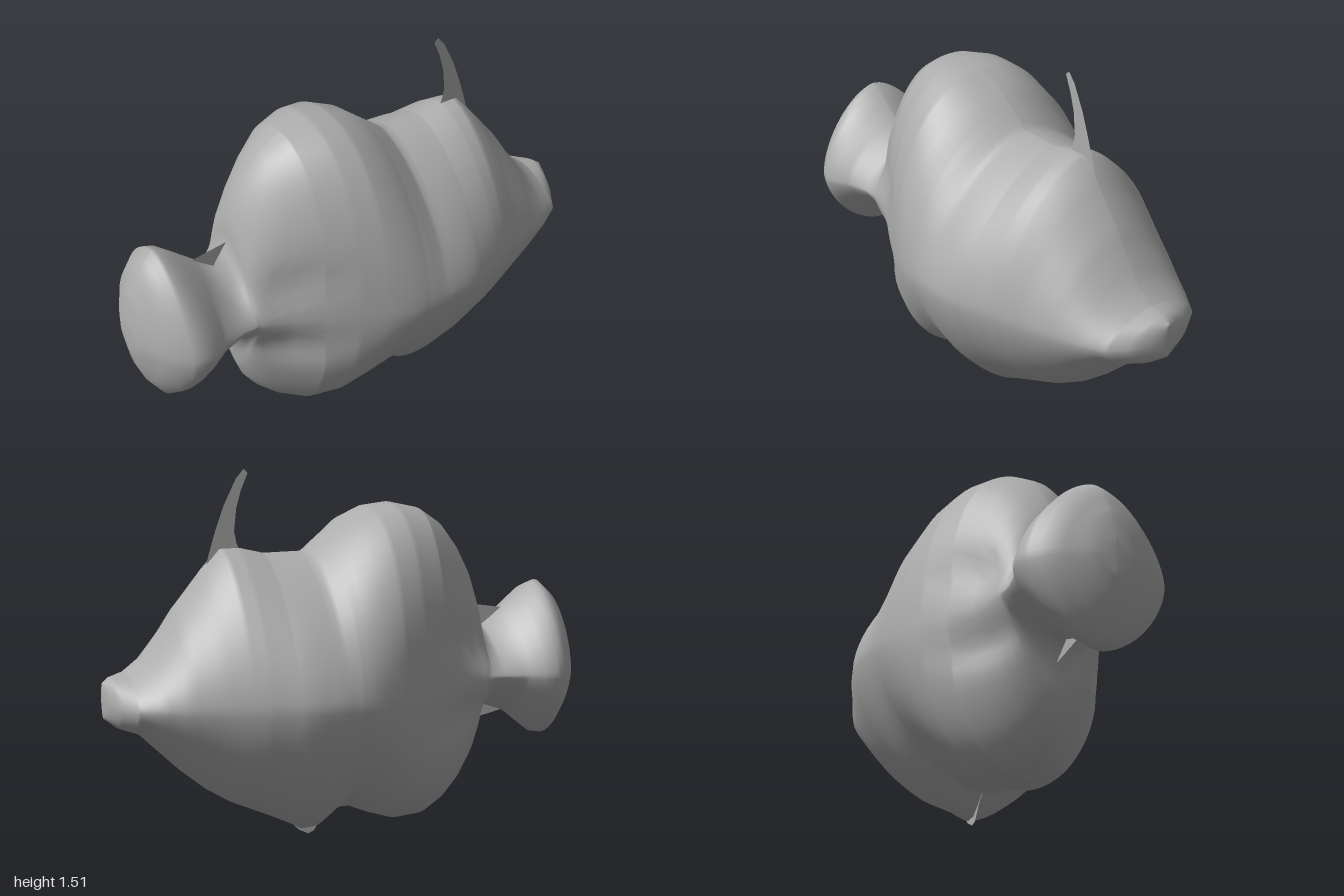
import * as THREE from 'three';

// Outline and cross-section rules along the length, as [x, value] pairs
const TOP = [[-1, .71], [-.985, .82], [-.93, .95], [-.87, 1.005], [-.82, .985], [-.7, .89], [-.62, .825], [-.565, .86],
  [-.555, .97], [-.545, 1.03], [-.52, 1.105], [-.47, 1.19], [-.4, 1.275], [-.31, 1.335], [-.2, 1.36], [-.1, 1.35],
  [0, 1.31], [.08, 1.25], [.17, 1.18], [.34, 1.18], [.44, 1.205], [.52, 1.205], [.58, 1.14], [.62, 1.09], [.7, .99],
  [.75, .91], [.83, .8], [.9, .745], [.97, .73], [1, .71]];
const BOTTOM = [[-1, .58], [-.985, .5], [-.95, .41], [-.9, .335], [-.85, .345], [-.72, .45], [-.62, .485], [-.565, .45],
  [-.555, .36], [-.545, .29], [-.52, .22], [-.47, .15], [-.4, .09], [-.3, .047], [-.18, .042], [-.08, .075],
  [0, .11], [.07, .11], [.11, .07], [.15, .035], [.2, .03], [.25, .06], [.35, .11], [.5, .18], [.6, .245],
  [.7, .33], [.8, .43], [.87, .5], [.95, .53], [1, .57]];
const WIDTH = [[-1, 0], [-.998, .07], [-.97, .14], [-.93, .22], [-.87, .28], [-.82, .3], [-.77, .29], [-.7, .25],
  [-.62, .23], [-.55, .23], [-.47, .25], [-.4, .28], [-.3, .335], [-.2, .385], [-.1, .43], [0, .47], [.1, .48],
  [.2, .483], [.3, .475], [.46, .42], [.6, .36], [.73, .31], [.83, .265], [.91, .215], [.96, .14], [.985, .08],
  [.998, .03], [1, 0]];
// Height of the widest line along the flank
const MIDDLE = [[-1, .65], [.4, .65], [.95, .63], [1, .64]];
// Roundness of the section: 2 is an ellipse, lower is more pointed
const ROUND_TOP = [[-1, 1.6], [-.85, 1.65], [-.62, 1.35], [-.55, 1.4], [-.45, 1.95], [-.3, 2.35], [-.14, 2.35],
  [-.04, 2.1], [.06, 1.8], [.16, 1.62], [.3, 1.6], [.6, 1.6], [.9, 1.65], [1, 1.7]];
const ROUND_BOTTOM = [[-1, 1.6], [-.85, 1.65], [-.62, 1.35], [-.55, 1.4], [-.45, 1.85], [-.32, 2.2], [-.2, 2.1],
  [-.08, 1.85], [.05, 1.62], [.2, 1.52], [.4, 1.58], [.7, 1.65], [.9, 1.75], [1, 1.8]];

function sample(curve, x) {
  let i = 1;
  while (i < curve.length - 1 && curve[i][0] < x) i++;
  const [x0, a] = curve[i - 1], [x1, b] = curve[i];
  return a + (b - a) * (x - x0) / (x1 - x0);
}

const bump = (v, centre, spread) => Math.exp(-(((v - centre) / spread) ** 2));

// One side of the fish, lofted tail to nose; halves meet in a sharp keel
function halfBody(side) {
  const stations = [...new Set([...TOP, ...BOTTOM, ...WIDTH].map(p => p[0]))].sort((a, b) => a - b);
  const rows = 36, positions = [], index = [];
  for (const x of stations) {
    const mid = sample(MIDDLE, x), w = sample(WIDTH, x);
    for (let j = 0; j <= rows; j++) {
      const t = (j / rows - .5) * Math.PI, upper = t >= 0;
      const p = 2 / sample(upper ? ROUND_TOP : ROUND_BOTTOM, x);
      const rise = (sample(upper ? TOP : BOTTOM, x) - mid) * Math.abs(Math.sin(t)) ** p;
      // Valleys between the tail root and the two rear lobes
      const valley = 1 - .14 * bump(x, -.46, .15) * bump(Math.abs(rise), .15, .08);
      const z = j === 0 || j === rows ? 0 : w * valley * Math.cos(t) ** p;
      positions.push(x, mid + rise, side * z);
    }
  }
  for (let i = 0; i < stations.length - 1; i++) {
    for (let j = 0; j < rows; j++) {
      const a = i * (rows + 1) + j, b = a + rows + 1;
      if (side > 0) index.push(a, b, b + 1, a, b + 1, a + 1);
      else index.push(a, b + 1, b, a, a + 1, b + 1);
    }
  }
  const g = new THREE.BufferGeometry();
  g.setAttribute('position', new THREE.Float32BufferAttribute(positions, 3));
  g.setIndex(index);
  g.computeVertexNormals();
  return g;
}

export function createModel() {
  const group = new THREE.Group();
  const grey = new THREE.MeshStandardMaterial({ color: 0xacacac, side: THREE.DoubleSide });
  grey.name = 'grey';
  const add = (name, geometry) => {
    const mesh = new THREE.Mesh(geometry, grey);
    mesh.name = name;
    group.add(mesh);
  };
  const fin = (name, points) =>
    add(name, new THREE.ShapeGeometry(new THREE.Shape(points.map(p => new THREE.Vector2(...p)))));

  add('leftSide', halfBody(1));
  add('rightSide', halfBody(-1));

  // Thin fins on the centre plane
  fin('dorsalSpine', [[.43, 1.18], [.45, 1.22], [.46, 1.27], [.45, 1.36], [.43, 1.43], [.402, 1.495], [.418, 1.512],
    [.45, 1.475], [.5, 1.375], [.535, 1.28], [.56, 1.2], [.58, 1.13]]);
  fin('bellyFin', [[.05, .13], [.1, .07], [.135, .01], [.16, 0], [.2, .02], [.26, .08]]);
  fin('upperTailWeb', [[-.71, .895], [-.56, .92], [-.62, .83]]);
  fin('lowerTailWeb', [[-.72, .45], [-.64, .49], [-.55, .415]]);
  return group;
}
